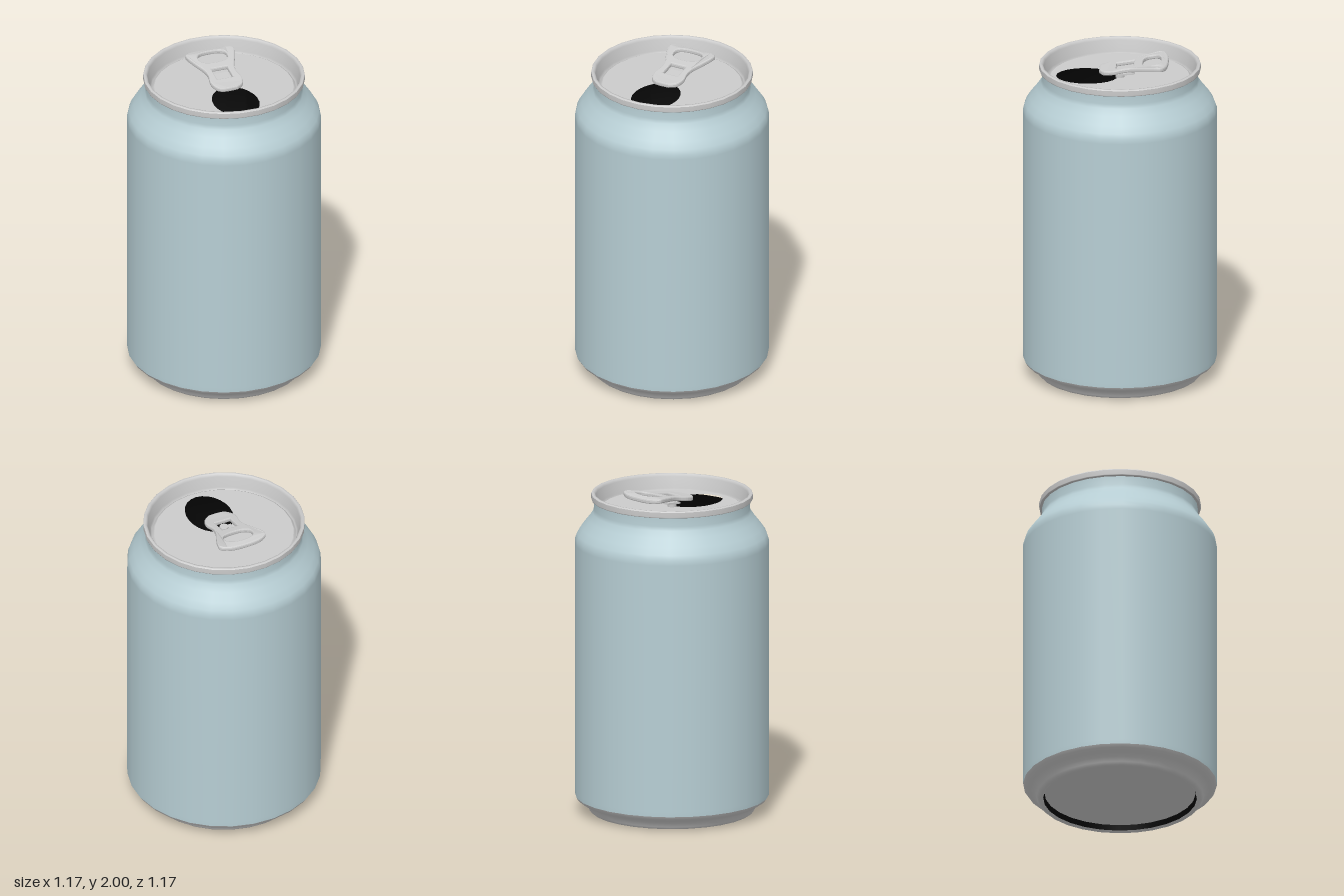
import * as THREE from 'three';

const SIDES = 28;
const AXIS = -0.53; // turn of the tab and opening about the can's axis
const DECK_Y = 1.885, DECK_R = 0.42;

const paint = (color) => new THREE.MeshStandardMaterial({ color });
const metal = paint(0xcccccc);
const blue = paint(0xb7ced4);
const dark = paint(0x050505);

const vec = (p) => new THREE.Vector2(p[0], p[1]);

function add(parent, name, geometry, material) {
  const mesh = new THREE.Mesh(geometry, material);
  mesh.name = name;
  parent.add(mesh);
  return mesh;
}

// Profiles run from the bottom centre outwards and up, so faces look outwards
const lathe = (points) => new THREE.LatheGeometry(points.map(vec), SIDES);

function ellipse(cx, rx, ry, n) {
  return Array.from({ length: n }, (_, i) => {
    const a = (i / n) * Math.PI * 2;
    return new THREE.Vector2(cx + rx * Math.cos(a), ry * Math.sin(a));
  });
}

// Height of the tab's middle layer: rising from the nose, drooping at the ring end
function tabHeight(u) {
  return 1.93 + 0.17 * Math.max(0, 0.1 - u) - 4 * Math.max(0, -0.22 - u) ** 2;
}

function tabGeometry() {
  // Half outline from nose to ring end, mirrored for the other side
  const half = [[0.115, 0.04], [0.088, 0.078], [0.035, 0.094], [-0.03, 0.083], [-0.09, 0.092],
    [-0.16, 0.122], [-0.23, 0.147], [-0.262, 0.138], [-0.282, 0.07]];
  const outline = [...half, ...half.map(([x, y]) => [x, -y]).reverse()].map(vec);
  const shape = new THREE.Shape(
    new THREE.SplineCurve([...outline, outline[0]]).getPoints(72).slice(0, -1));

  // Finger hole, squared off a little
  const ring = ellipse(0, 1, 1, 28).map((p) => new THREE.Vector2(
    -0.193 + 0.064 * Math.sign(p.x) * Math.abs(p.x) ** 0.8,
    0.1 * Math.sign(p.y) * Math.abs(p.y) ** 0.8));
  const slot = [[-0.09, -0.058], [0.03, -0.058], [0.03, 0.058], [-0.09, 0.058]].map(vec);
  shape.holes.push(new THREE.Path(ring), new THREE.Path(slot));

  const geo = new THREE.ExtrudeGeometry(shape, {
    depth: 0.012, bevelThickness: 0.008, bevelSize: 0.008, bevelSegments: 2,
  });
  geo.translate(0, 0, -0.006).rotateX(-Math.PI / 2);
  const pos = geo.attributes.position;
  for (let i = 0; i < pos.count; i++) pos.setY(i, pos.getY(i) + tabHeight(pos.getX(i)));
  geo.computeVertexNormals();
  return geo;
}

export function createModel() {
  const can = new THREE.Group();
  can.name = 'drinkCan';

  // Painted wall with tapered shoulder and neck
  add(can, 'body', lathe([[0.584, 0.1], [0.585, 0.13], [0.585, 1.66], [0.583, 1.69], [0.572, 1.72],
    [0.545, 1.76], [0.505, 1.81], [0.478, 1.85], [0.471, 1.875], [0.471, 1.93]]), blue);

  // Bare metal base: domed panel, dark recess wall, standing ring
  add(can, 'baseDome', lathe([[0, 0.09], [0.15, 0.085], [0.3, 0.068], [0.455, 0.04]]), metal);
  add(can, 'baseRecess', lathe([[0.455, 0.042], [0.463, 0.008]]), dark);
  add(can, 'baseRing', lathe([[0.463, 0.008], [0.475, 0], [0.49, 0.003], [0.503, 0.018],
    [0.515, 0.045], [0.545, 0.065], [0.573, 0.082], [0.584, 0.1]]), metal);

  // Rolled rim, sunk wall and groove around the lid
  add(can, 'rimOutside', lathe([[0.468, 1.928], [0.485, 1.93], [0.487, 1.935], [0.487, 1.965]]), metal);
  add(can, 'rimInside', lathe([[0.487, 1.965], [0.481, 1.972], [0.469, 1.971], [0.46, 1.955],
    [0.447, 1.885], [0.441, 1.866], [0.434, 1.867], [0.429, 1.88], [DECK_R, DECK_Y]]), metal);

  // Dark inside, facing inwards
  add(can, 'inside', lathe([[0.43, 1.86], [0.46, 1.84], [0.56, 1.67], [0.56, 0.12], [0, 0.11]]
    ), dark);

  const lid = new THREE.Group();
  lid.name = 'lid';
  lid.rotation.y = AXIS;
  can.add(lid);

  // Flat lid with the drinking opening; its corners meet the groove's corners
  const edge = Array.from({ length: SIDES }, (_, i) => {
    const a = (i / SIDES) * Math.PI * 2 - AXIS;
    return new THREE.Vector2(DECK_R * Math.cos(a), DECK_R * Math.sin(a));
  });
  const deck = new THREE.Shape(edge);
  deck.holes.push(new THREE.Path(ellipse(0.2, 0.185, 0.138, 24)));
  const deckGeo = new THREE.ShapeGeometry(deck).rotateX(-Math.PI / 2).translate(0, DECK_Y, 0);
  add(lid, 'deck', deckGeo, metal);

  // Pull tab with its riveted tongue
  add(lid, 'pullTab', tabGeometry(), metal);
  const tongue = add(lid, 'tabTongue', new THREE.BoxGeometry(0.11, 0.01, 0.108), metal);
  tongue.position.set(-0.036, 1.918, 0);
  tongue.rotation.z = -0.1;
  const rivet = add(lid, 'rivet', new THREE.CylinderGeometry(0.027, 0.027, 0.045, 16), metal);
  rivet.position.set(0, DECK_Y + 0.0205, 0);

  return can;
}
